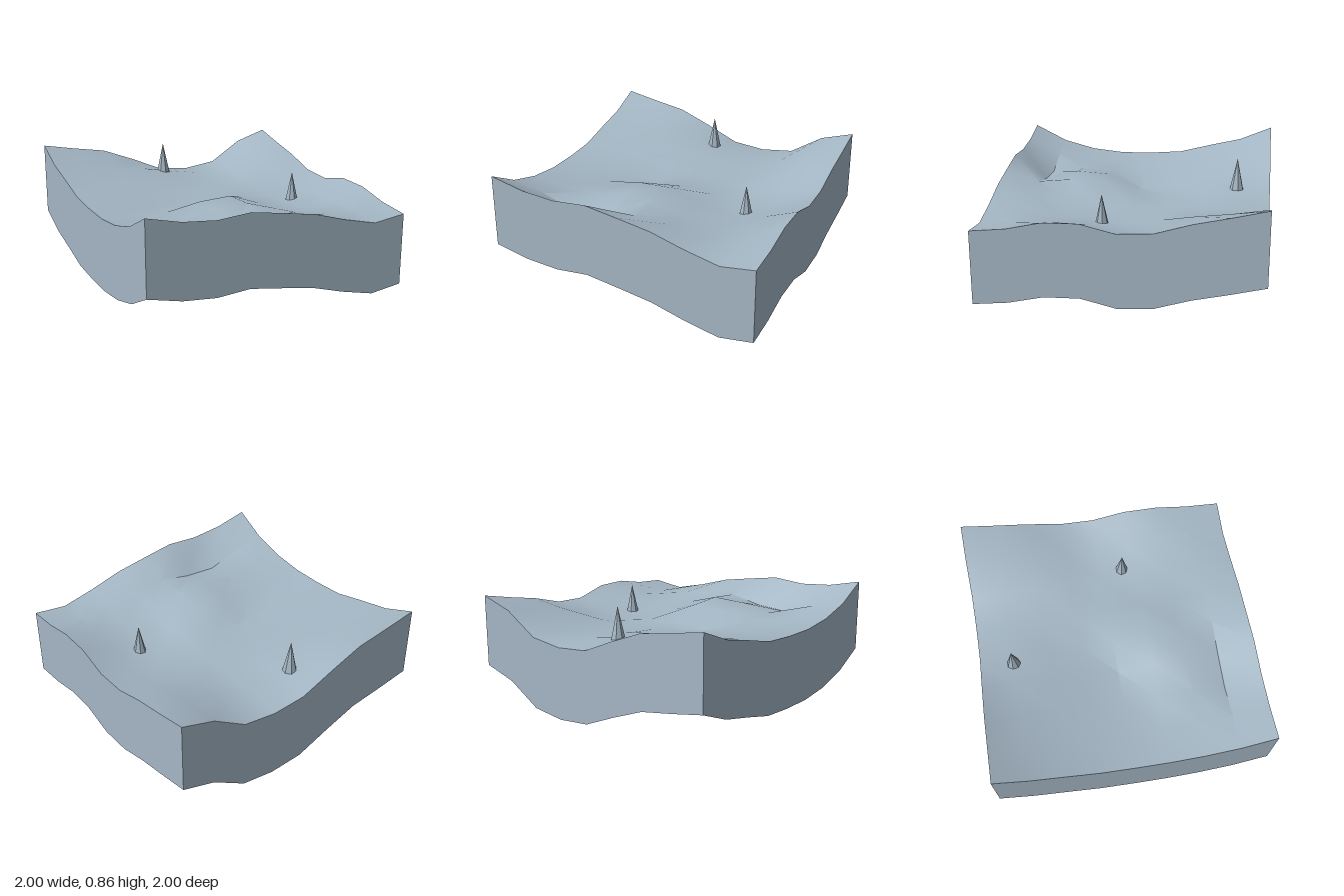
import * as THREE from 'three';
import { toCreasedNormals } from 'three/addons/utils/BufferGeometryUtils.js';

const N = 8, STEP = 0.25, WALL = 0.533;

// Terrain heights, one row per z from back (-1) to front (+1), x from -1 to +1
const HEIGHTS = [
  [0.865, 0.815, 0.77, 0.67, 0.56, 0.535, 0.565, 0.72, 0.795],
  [0.76, 0.715, 0.68, 0.645, 0.595, 0.55, 0.575, 0.68, 0.735],
  [0.70, 0.665, 0.635, 0.61, 0.58, 0.54, 0.56, 0.65, 0.68],
  [0.635, 0.61, 0.585, 0.555, 0.55, 0.535, 0.53, 0.565, 0.605],
  [0.615, 0.585, 0.56, 0.525, 0.55, 0.53, 0.50, 0.53, 0.59],
  [0.61, 0.585, 0.59, 0.63, 0.64, 0.55, 0.515, 0.56, 0.65],
  [0.635, 0.60, 0.60, 0.645, 0.65, 0.575, 0.53, 0.565, 0.645],
  [0.70, 0.645, 0.56, 0.575, 0.625, 0.615, 0.57, 0.55, 0.59],
  [0.825, 0.765, 0.74, 0.757, 0.715, 0.67, 0.595, 0.535, 0.565],
];

// Rolling top surface, smooth apart from its sharpest folds
function terrainGeometry() {
  const geo = new THREE.PlaneGeometry(2, 2, N, N).rotateX(-Math.PI / 2);
  const pos = geo.attributes.position;
  for (let i = 0; i < pos.count; i++) {
    pos.setY(i, HEIGHTS[Math.floor(i / (N + 1))][i % (N + 1)]);
  }
  return toCreasedNormals(geo, Math.PI / 6);
}

// Wall hanging from one edge; cell(i) gives the [column, row] along that edge
function wallGeometry(cell) {
  const points = [], index = [];
  for (let i = 0; i <= N; i++) {
    const [c, r] = cell(i);
    const x = c * STEP - 1, z = r * STEP - 1, y = HEIGHTS[r][c];
    points.push(x, y, z, x, y - WALL, z);
    if (i < N) {
      const a = i * 2;
      index.push(a, a + 1, a + 2, a + 2, a + 1, a + 3);
    }
  }
  const geo = new THREE.BufferGeometry();
  geo.setAttribute('position', new THREE.Float32BufferAttribute(points, 3));
  geo.setIndex(index);
  geo.computeVertexNormals();
  return geo;
}

export function createModel() {
  const model = new THREE.Group();
  model.name = 'terrainBlock';
  const slate = new THREE.MeshStandardMaterial({ color: 0xa4b6c4, side: THREE.DoubleSide });
  slate.name = 'slateBlue';

  const add = (name, geo) => {
    const mesh = new THREE.Mesh(geo, slate);
    mesh.name = name;
    model.add(mesh);
    return mesh;
  };

  add('terrainSurface', terrainGeometry());

  // Four walls, open underneath
  add('frontWall', wallGeometry((i) => [i, N]));
  add('leftWall', wallGeometry((i) => [N, N - i]));
  add('backWall', wallGeometry((i) => [N - i, 0]));
  add('rightWall', wallGeometry((i) => [0, i]));

  // Faceted spikes standing on the ground: x, tip height, z
  const spikeHeight = 0.25;
  const spike = new THREE.ConeGeometry(0.055, spikeHeight, 7, 1).toNonIndexed();
  spike.computeVertexNormals();
  for (const [name, x, tip, z] of [['backSpike', -0.083, 0.835, -0.752], ['frontSpike', 0.582, 0.727, 0.165]]) {
    add(name, spike).position.set(x, tip - spikeHeight / 2, z);
  }

  return model;
}
